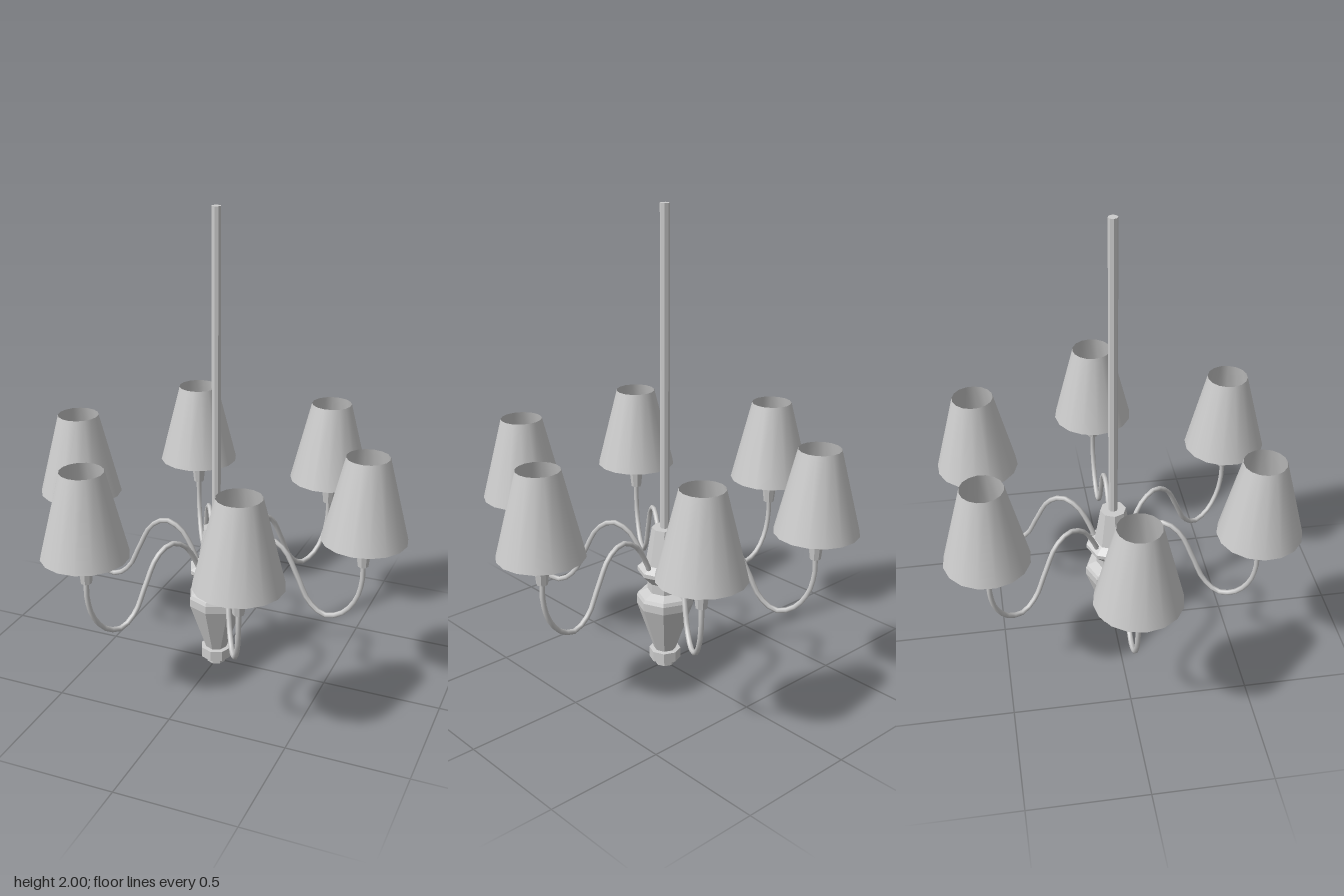
import * as THREE from 'three';

const flat = new THREE.MeshStandardMaterial({ color: 0xcccccc, flatShading: true });
const smooth = new THREE.MeshStandardMaterial({ color: 0xcccccc });
const shadeMat = new THREE.MeshStandardMaterial({ color: 0xcccccc, side: THREE.DoubleSide });

const ARMS = 6, REACH = 0.645;

function add(parent, name, geometry, material) {
  const mesh = new THREE.Mesh(geometry, material);
  mesh.name = name;
  parent.add(mesh);
  return mesh;
}

// Turned part from [radius, height] pairs, listed bottom to top
function turned(profile, sides) {
  return new THREE.LatheGeometry(profile.map(([r, y]) => new THREE.Vector2(r, y)), sides);
}

// One arm reaching along +x, with its candle holder, bulb and lampshade
function createArm() {
  const arm = new THREE.Group();

  // S-shaped arm, from the central column up, down and up to the holder
  const path = new THREE.CatmullRomCurve3([
    [0.085, 0.46], [0.115, 0.53], [0.165, 0.605], [0.235, 0.637], [0.305, 0.6], [0.37, 0.48],
    [0.42, 0.38], [0.49, 0.33], [0.565, 0.355], [0.622, 0.43], [0.645, 0.52], [0.645, 0.61],
  ].map(([x, y]) => new THREE.Vector3(x, y, 0)));
  add(arm, 'curvedArm', new THREE.TubeGeometry(path, 26, 0.011, 6), smooth);

  const lamp = new THREE.Group();
  lamp.name = 'lamp';
  lamp.position.x = REACH;
  arm.add(lamp);

  // Flared holder
  add(lamp, 'candleHolder', turned([[0, 0.59], [0.023, 0.59], [0.037, 0.715], [0.035, 0.735], [0.022, 0.755], [0, 0.755]], 8), flat);
  // Bulb
  add(lamp, 'bulb', turned([[0.02, 0.75], [0.024, 0.77], [0.04, 0.8], [0.043, 0.825], [0.036, 0.85], [0.02, 0.865], [0, 0.87]], 10), smooth);
  // Open conical shade
  add(lamp, 'lampshade', new THREE.CylinderGeometry(0.088, 0.177, 0.355, 16, 1, true), shadeMat).position.y = 0.8875;
  return arm;
}

export function createModel() {
  const model = new THREE.Group();
  model.name = 'chandelier';

  // Faceted central column with its bottom finial
  add(model, 'centralColumn', turned([
    [0, 0], [0.042, 0], [0.042, 0.028], [0.068, 0.028], [0.068, 0.073], [0.048, 0.075],
    [0.122, 0.29], [0.122, 0.325], [0.115, 0.34], [0.075, 0.358], [0.075, 0.4],
    [0.118, 0.445], [0.118, 0.462], [0.082, 0.485], [0.056, 0.645], [0, 0.645],
  ], 8), flat);

  // Hanging rod
  add(model, 'hangingRod', new THREE.CylinderGeometry(0.02, 0.02, 1.36, 8), flat).position.y = 1.32;

  // Ring of arms
  for (let i = 0; i < ARMS; i++) {
    const arm = createArm();
    arm.name = `arm${i + 1}`;
    arm.rotation.y = (i / ARMS) * Math.PI * 2;
    model.add(arm);
  }
  return model;
}
